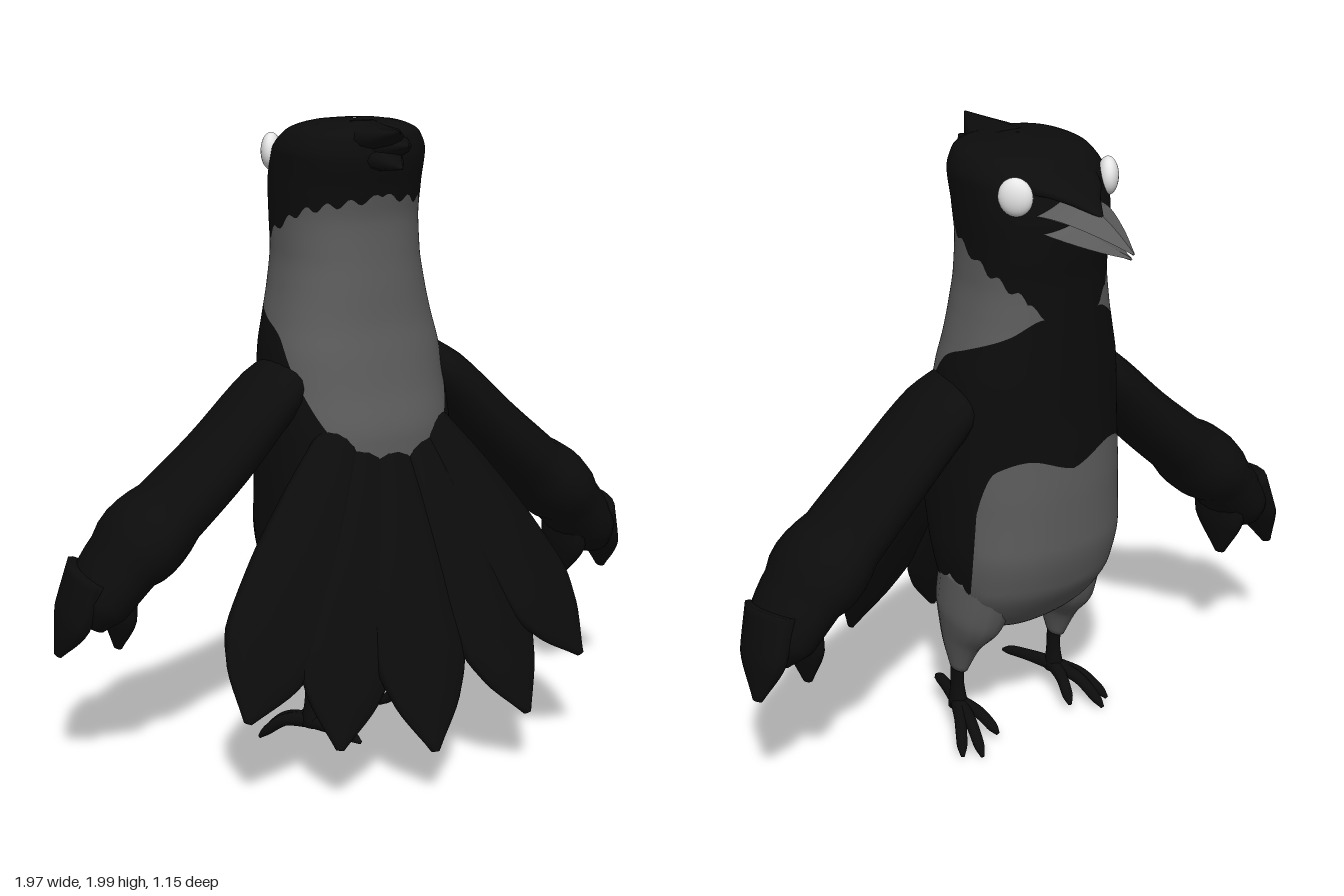
import * as THREE from 'three';

const V = (x, y, z) => new THREE.Vector3(x, y, z);
const mat = (name, color) => Object.assign(new THREE.MeshStandardMaterial({ color }), { name });

// Smooth monotone interpolation of column k in a table sorted by its first column
function interp(tab, x, k = 1) {
  const n = tab.length - 1;
  if (x <= tab[0][0]) return tab[0][k];
  if (x >= tab[n][0]) return tab[n][k];
  let i = 0;
  while (x > tab[i + 1][0]) i++;
  const slope = j => (tab[j + 1][k] - tab[j][k]) / (tab[j + 1][0] - tab[j][0]);
  const m = j => {
    if (j === 0) return slope(0);
    if (j === n) return slope(n - 1);
    const a = slope(j - 1), b = slope(j);
    return a * b <= 0 ? 0 : 2 * a * b / (a + b);
  };
  const h = tab[i + 1][0] - tab[i][0], t = (x - tab[i][0]) / h, t2 = t * t, t3 = t2 * t;
  return (2 * t3 - 3 * t2 + 1) * tab[i][k] + (t3 - 2 * t2 + t) * h * m(i)
    + (3 * t2 - 2 * t3) * tab[i + 1][k] + (t3 - t2) * h * m(i + 1);
}

// Body sections: height, back z, front z, half width
const BODY = [
  [0.37, -0.03, -0.04, 0.005], [0.42, 0.08, -0.12, 0.17], [0.5, 0.14, -0.2, 0.25],
  [0.6, 0.18, -0.26, 0.29], [0.75, 0.22, -0.29, 0.31], [0.9, 0.25, -0.29, 0.31],
  [1.05, 0.245, -0.285, 0.305], [1.2, 0.21, -0.28, 0.295], [1.3, 0.19, -0.28, 0.285],
  [1.4, 0.17, -0.28, 0.262], [1.5, 0.16, -0.28, 0.24], [1.6, 0.15, -0.28, 0.226],
  [1.7, 0.145, -0.29, 0.224], [1.8, 0.16, -0.295, 0.226], [1.9, 0.18, -0.265, 0.226],
  [1.96, 0.17, -0.21, 0.2], [1.99, 0.12, -0.13, 0.14], [2.0, 0.0, -0.01, 0.005]];

// Plumage borders: turn from back (0) to front (1), height
const NAPE_TOP = [[0, 1.78], [0.34, 1.74], [0.56, 1.66], [0.72, 1.6], [0.83, 1.55], [0.88, 1.51], [1, 1.5]];
const NAPE_LOW = [[0, 0.95], [0.1, 0.98], [0.22, 1.08], [0.35, 1.24], [0.45, 1.36], [0.74, 1.46], [0.88, 1.51], [1, 1.5]];
const BELLY = [[0, 0.42], [0.5, 0.46], [0.58, 0.52], [0.63, 0.7], [0.66, 0.9], [0.73, 1.03], [0.85, 1.06], [1, 1.01]];

const soft = v => Math.sign(v) * Math.pow(Math.abs(v), 0.87);
function bodyPoint(a, y) {
  const b = interp(BODY, y, 1), f = interp(BODY, y, 2), w = interp(BODY, y, 3);
  return V(-0.01 + w * soft(Math.sin(a)), y, (b + f) / 2 + (b - f) / 2 * soft(Math.cos(a)));
}

// Part of the body surface between two border curves
function bodyBand(low, high, rows) {
  const cols = 128, pos = [], nor = [], idx = [], e = 0.004;
  for (let j = 0; j <= rows; j++) for (let i = 0; i <= cols; i++) {
    const a = (i / cols * 2 - 1) * Math.PI, t = Math.abs(a) / Math.PI;
    const k = j / rows, y0 = low(t), y1 = Math.max(y0, high(t));
    const y = y0 + (y1 - y0) * k * k * (3 - 2 * k);
    const du = bodyPoint(a + 0.04, y).sub(bodyPoint(a - 0.04, y));
    const dv = bodyPoint(a, Math.min(2, y + e)).sub(bodyPoint(a, Math.max(0.37, y - e)));
    pos.push(...bodyPoint(a, y).toArray());
    nor.push(...du.cross(dv).normalize().toArray());
    if (i < cols && j < rows) {
      const p = j * (cols + 1) + i, q = p + cols + 1;
      idx.push(p, p + 1, q, p + 1, q + 1, q);
    }
  }
  const g = new THREE.BufferGeometry();
  g.setAttribute('position', new THREE.Float32BufferAttribute(pos, 3));
  g.setAttribute('normal', new THREE.Float32BufferAttribute(nor, 3));
  g.setIndex(idx);
  return g;
}

// Closed tapering form; each section is [x, y, z, half width, half thickness]
function limb(sections, widthAxis, sides = 16, steps = 20, flat = false) {
  const path = new THREE.CatmullRomCurve3(sections.map(s => V(s[0], s[1], s[2])));
  const size = new THREE.CatmullRomCurve3(sections.map(s => V(s[3], s[4], 0)));
  const pos = [], idx = [], rings = steps + 3;
  for (let r = 0; r < rings; r++) {
    const t = Math.min(1, Math.max(0, (r - 1) / steps));
    const cap = r === 0 || r === rings - 1 ? 0 : 1;
    const c = path.getPoint(t), s = size.getPoint(t), d = path.getTangent(t);
    const u = widthAxis.clone().addScaledVector(d, -widthAxis.dot(d)).normalize();
    const v = d.clone().cross(u);
    for (let j = 0; j < sides; j++) {
      const a = j / sides * Math.PI * 2;
      const p = c.clone().addScaledVector(u, cap * Math.max(0.001, s.x) * Math.cos(a))
        .addScaledVector(v, cap * Math.max(0.001, s.y) * Math.sin(a));
      pos.push(p.x, p.y, p.z);
      if (r < rings - 1) {
        const A = r * sides + j, B = r * sides + (j + 1) % sides;
        idx.push(A, B, A + sides, B, B + sides, A + sides);
      }
    }
  }
  let g = new THREE.BufferGeometry();
  g.setAttribute('position', new THREE.Float32BufferAttribute(pos, 3));
  g.setIndex(idx);
  if (flat) g = g.toNonIndexed();
  g.computeVertexNormals();
  return g;
}

export function createModel() {
  const model = new THREE.Group();
  model.name = 'bird';
  const black = mat('black plumage', 0x0c0c0c);
  const grey = mat('grey plumage', 0x5c5c5c);
  const white = mat('white eye', 0xf0f0f0);
  const add = (name, geometry, material) => {
    const m = new THREE.Mesh(geometry, material);
    m.name = name;
    model.add(m);
    return m;
  };
  const X = V(1, 0, 0), Z = V(0, 0, 1);

  // Head and body, banded by plumage colour
  const napeTop = t => interp(NAPE_TOP, t) + (t < 0.8 ? 0.012 * Math.sin(t * 60) : 0);
  const napeLow = t => interp(NAPE_LOW, t);
  const belly = t => interp(BELLY, t);
  add('crown', bodyBand(t => Math.max(napeTop(t), napeLow(t)), () => 2, 36), black);
  add('nape', bodyBand(napeLow, napeTop, 40), grey);
  add('chestAndBack', bodyBand(belly, napeLow, 40), black);
  add('belly', bodyBand(() => 0.37, belly, 40), grey);

  // Beak with a dark feather wedge over its base
  add('upperBeak', limb([[0, 1.83, -0.22, 0.13, 0.06], [0.005, 1.835, -0.33, 0.1, 0.045],
    [0.012, 1.815, -0.46, 0.052, 0.026], [0.02, 1.785, -0.575, 0.004, 0.004]], X, 4, 10, true), grey);
  add('lowerBeak', limb([[0, 1.785, -0.22, 0.12, 0.03], [0.005, 1.773, -0.33, 0.085, 0.02],
    [0.012, 1.766, -0.46, 0.042, 0.011], [0.02, 1.768, -0.565, 0.004, 0.004]], X, 4, 10, true), grey);
  add('foreheadFeathers', limb([[0, 1.91, -0.16, 0.16, 0.06], [0, 1.9, -0.26, 0.115, 0.03],
    [0.005, 1.878, -0.34, 0.055, 0.018], [0.01, 1.85, -0.425, 0.004, 0.004]], X), black);

  // Crest spikes at the back of the head
  for (const [x, y, z, w] of [[-0.04, 1.99, 0.3, 0.1], [0.02, 1.94, 0.25, 0.09], [-0.02, 1.88, 0.28, 0.08]]) {
    add('crestSpike', limb([[x * 0.3, y * 0.4 + 1.16, 0.04, w * 1.1, 0.045],
      [x * 0.7, y * 0.6 + 0.767, 0.17, w * 0.8, 0.035], [x, y, z, 0.004, 0.003]], X, 10, 10), black);
  }

  for (const s of [1, -1]) {
    const side = s > 0 ? 'left' : 'right';

    // Eye
    const eye = add(side + 'Eye', new THREE.SphereGeometry(1, 24, 16), white);
    eye.scale.set(0.032, 0.058, 0.053);
    eye.position.set(s * 0.172 - 0.01, 1.888, -0.217);
    eye.rotation.y = s * 0.6;

    // Wing, swept slightly differently on each side
    const sweep = x => s > 0 ? -0.06 + Math.min(x, 0.5) * 0.19 : 0.01 - x * 0.13;
    const wing = [[0.16, 1.29, 0.1, 0.06], [0.3, 1.175, 0.15, 0.085], [0.47, 0.99, 0.155, 0.098],
      [0.63, 0.84, 0.16, 0.105], [0.78, 0.7, 0.16, 0.105], [0.865, 0.585, 0.14, 0.09], [0.9, 0.52, 0.08, 0.05]];
    add(side + 'Wing', limb(wing.map(([x, y, c, t]) => [s * x, y, sweep(x), c, t]), Z, 20, 30), black);
    for (const [x0, x1, y1, dz] of [[0.89, 0.975, 0.415, -0.04], [0.8, 0.79, 0.415, -0.03]]) {
      add(side + 'WingFeather', limb([[s * x0, 0.68, sweep(x0), 0.12, 0.05],
        [s * (x0 * 0.45 + x1 * 0.55), 0.54, sweep(x0) + dz * 0.5, 0.11, 0.042],
        [s * x1, y1, sweep(x1) + dz, 0.02, 0.012]], Z, 14, 12), black);
    }

    // Thigh, shank and toes
    add(side + 'Thigh', limb([[s * 0.16, 0.62, -0.04, 0.13, 0.15], [s * 0.185, 0.47, -0.01, 0.1, 0.135],
      [s * 0.197, 0.36, 0.02, 0.06, 0.085], [s * 0.2, 0.24, 0.035, 0.025, 0.036]], X), grey);
    add(side + 'Shank', limb([[s * 0.2, 0.27, 0.04, 0.019, 0.03], [s * 0.2, 0.19, 0.045, 0.019, 0.028],
      [s * 0.2, 0.09, 0.04, 0.03, 0.04]], X, 12, 8), black);
    for (const [x, y, z] of [[0.3, 0.012, -0.12], [0.25, 0.012, -0.16], [0.15, 0.035, -0.11], [0.14, 0.088, 0.245]]) {
      add(side + 'Toe', limb([[s * 0.2, 0.105, 0.04, 0.026, 0.026],
        [s * (0.1 + x / 2), 0.085 + y * 0.2, 0.02 + z / 2, 0.02, 0.02],
        [s * (0.03 + x * 0.85), 0.03 + y * 0.75, 0.006 + z * 0.85, 0.018, 0.016],
        [s * x, y, z, 0.006, 0.006]], X, 10, 14), black);
    }
  }

  // Tail: overlapping feathers fanned down from the back
  for (const [x, y, z] of [[-0.61, 0.3, 0.38], [-0.36, 0.2, 0.49], [-0.07, 0.16, 0.565], [0.29, 0.2, 0.535], [0.545, 0.32, 0.46]]) {
    const root = V(x * 0.25, 1.1, 0.17), tip = V(x, y, z);
    const across = tip.clone().sub(root).cross(V(x * 0.5, 0.4, 1)).normalize();
    const shape = [[0, 0.06, 0.03], [0.25, 0.11, 0.045], [0.5, 0.145, 0.045], [0.72, 0.155, 0.035], [0.86, 0.11, 0.026], [1, 0.012, 0.012]];
    add('tailFeather', limb(shape.map(([t, w, d]) => {
      const p = root.clone().lerp(tip, t);
      return [p.x, p.y, p.z, w, d];
    }), across, 14, 24), black);
  }
  return model;
}
